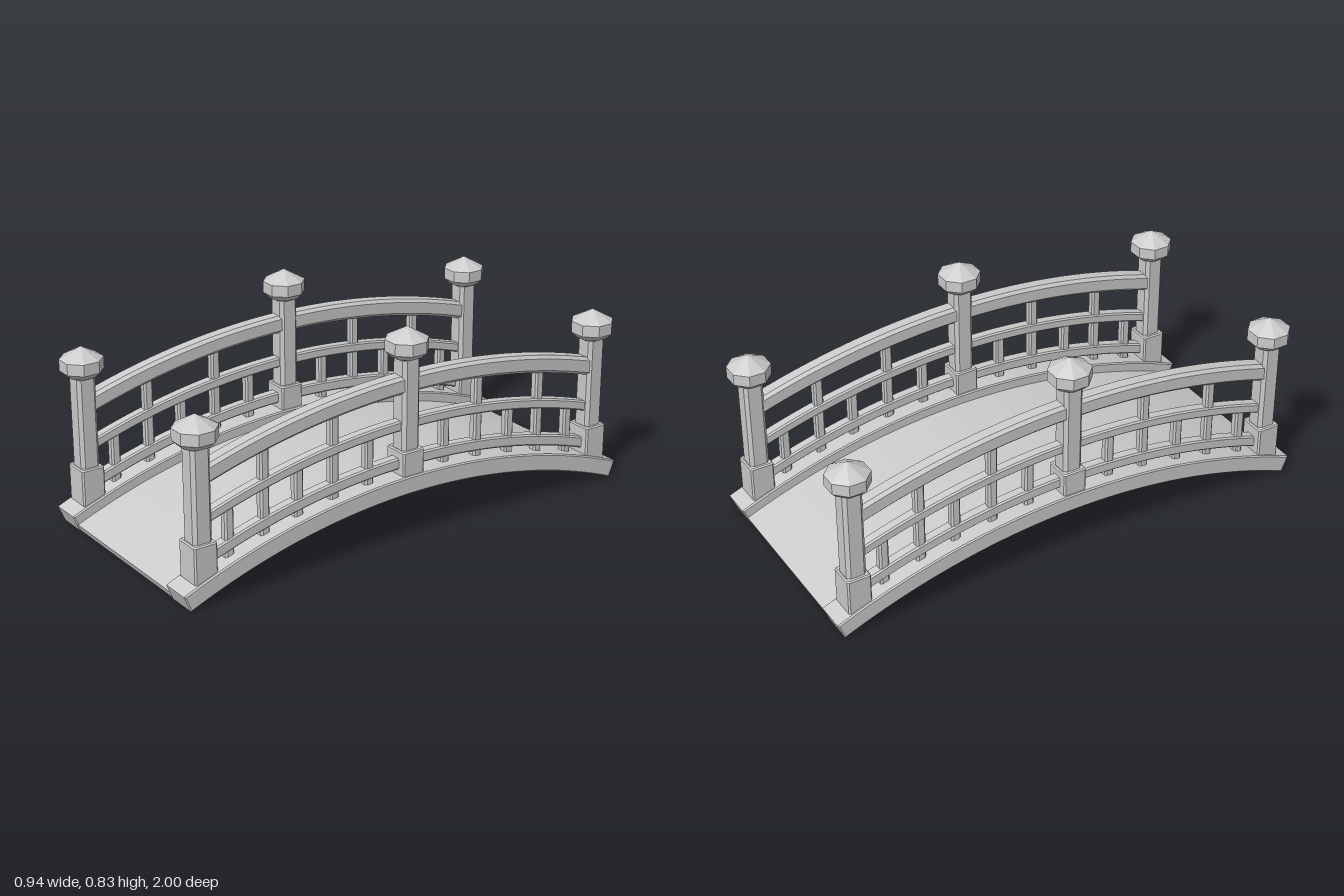
import * as THREE from 'three';

const CENTER_Y = -2.335;   // shared centre of every arc of the bridge
const END_ANGLE = 0.394;   // half-angle covered by the deck
const SIDE_X = 0.395;      // centre line of each railing

const material = new THREE.MeshStandardMaterial({ color: 0xcccccc, flatShading: true, side: THREE.DoubleSide });

const arcY = (radius, z) => Math.sqrt(radius * radius - z * z) + CENTER_Y;

function add(parent, name, geometry, x = 0, y = 0, z = 0) {
  const mesh = new THREE.Mesh(geometry, material);
  mesh.name = name;
  mesh.position.set(x, y, z);
  parent.add(mesh);
  return mesh;
}

// Curved beam running along z between two radii, with chamfered edges
function arcBeam(inner, outer, halfAngle, width, bevel) {
  const shape = new THREE.Shape();
  const mid = Math.PI / 2;
  shape.absarc(0, CENTER_Y, outer, mid - halfAngle, mid + halfAngle, false);
  shape.absarc(0, CENTER_Y, inner, mid + halfAngle, mid - halfAngle, true);
  shape.closePath();
  const geometry = new THREE.ExtrudeGeometry(shape, {
    depth: width - 2 * bevel, curveSegments: 28, bevelEnabled: bevel > 0,
    bevelThickness: bevel, bevelSize: bevel, bevelOffset: -bevel, bevelSegments: 1,
  });
  geometry.translate(0, 0, -(width - 2 * bevel) / 2);
  return geometry.rotateY(-Math.PI / 2);
}

// Upright block with chamfered edges, standing on its local origin
function uprightBlock(width, height, depth, c, bevel = 0) {
  const w = width / 2, d = depth / 2;
  const shape = new THREE.Shape([
    [w - c, -d], [w, -d + c], [w, d - c], [w - c, d],
    [-w + c, d], [-w, d - c], [-w, -d + c], [-w + c, -d],
  ].map(([x, y]) => new THREE.Vector2(x, y)));
  const geometry = new THREE.ExtrudeGeometry(shape, {
    depth: height - 2 * bevel, bevelEnabled: bevel > 0,
    bevelThickness: bevel, bevelSize: bevel, bevelOffset: -bevel, bevelSegments: 1,
  });
  geometry.translate(0, 0, bevel);
  return geometry.rotateX(-Math.PI / 2);
}

// Eight-sided onion cap
function finialGeometry() {
  const profile = [
    [0, 0], [0.042, 0], [0.06, 0.008], [0.083, 0.03], [0.083, 0.075],
    [0.06, 0.088], [0.025, 0.107], [0, 0.121],
  ].map(([r, y]) => new THREE.Vector2(r, y));
  return new THREE.LatheGeometry(profile, 8, Math.PI / 8);
}

function createPost(name, z, plinthBottom, plinthTop, postTop) {
  const post = new THREE.Group();
  post.name = name;
  post.position.z = z;
  add(post, 'plinth', uprightBlock(0.106, plinthTop - plinthBottom, 0.095, 0.006, 0.005), 0, plinthBottom);
  add(post, 'shaft', uprightBlock(0.078, postTop - plinthBottom, 0.078, 0.013), 0, plinthBottom);
  add(post, 'finial', finialGeometry(), 0, postTop - 0.001);
  return post;
}

function createRailing(name) {
  const railing = new THREE.Group();
  railing.name = name;

  add(railing, 'curb', arcBeam(2.535, 2.605, END_ANGLE, 0.126, 0.005));

  // Three concentric rails: inner radius, outer radius, width
  const rails = [
    ['lowerRail', 2.625, 2.67, 0.045, 0.006],
    ['middleRail', 2.775, 2.815, 0.045, 0.006],
    ['topRail', 2.92, 2.99, 0.066, 0.012],
  ];
  for (const [label, inner, outer, width, bevel] of rails) {
    add(railing, label, arcBeam(inner, outer, Math.asin(0.9 / outer), width, bevel));
  }

  railing.add(createPost('centerPost', 0, 0.25, 0.365, 0.716));
  for (const s of [1, -1]) {
    railing.add(createPost(s > 0 ? 'frontPost' : 'backPost', s * 0.9, 0.09, 0.24, 0.594));

    // Short balusters reach the middle rail, tall ones the top rail
    [0.175, 0.33, 0.485, 0.63, 0.78].forEach((z, i) => {
      const tall = i % 2 === 1;
      const bottom = arcY(2.59, z);
      const top = arcY(tall ? 2.95 : 2.795, z);
      add(railing, tall ? 'tallBaluster' : 'shortBaluster',
        uprightBlock(0.036, top - bottom, 0.038, 0.007), 0, bottom, s * z);
    });
  }
  return railing;
}

export function createModel() {
  const bridge = new THREE.Group();
  bridge.name = 'archedBridge';

  add(bridge, 'deck', arcBeam(2.536, 2.565, END_ANGLE - 0.001, 0.68, 0));

  for (const s of [1, -1]) {
    const railing = createRailing(s > 0 ? 'leftRailing' : 'rightRailing');
    railing.position.x = s * SIDE_X;
    bridge.add(railing);
  }
  return bridge;
}
